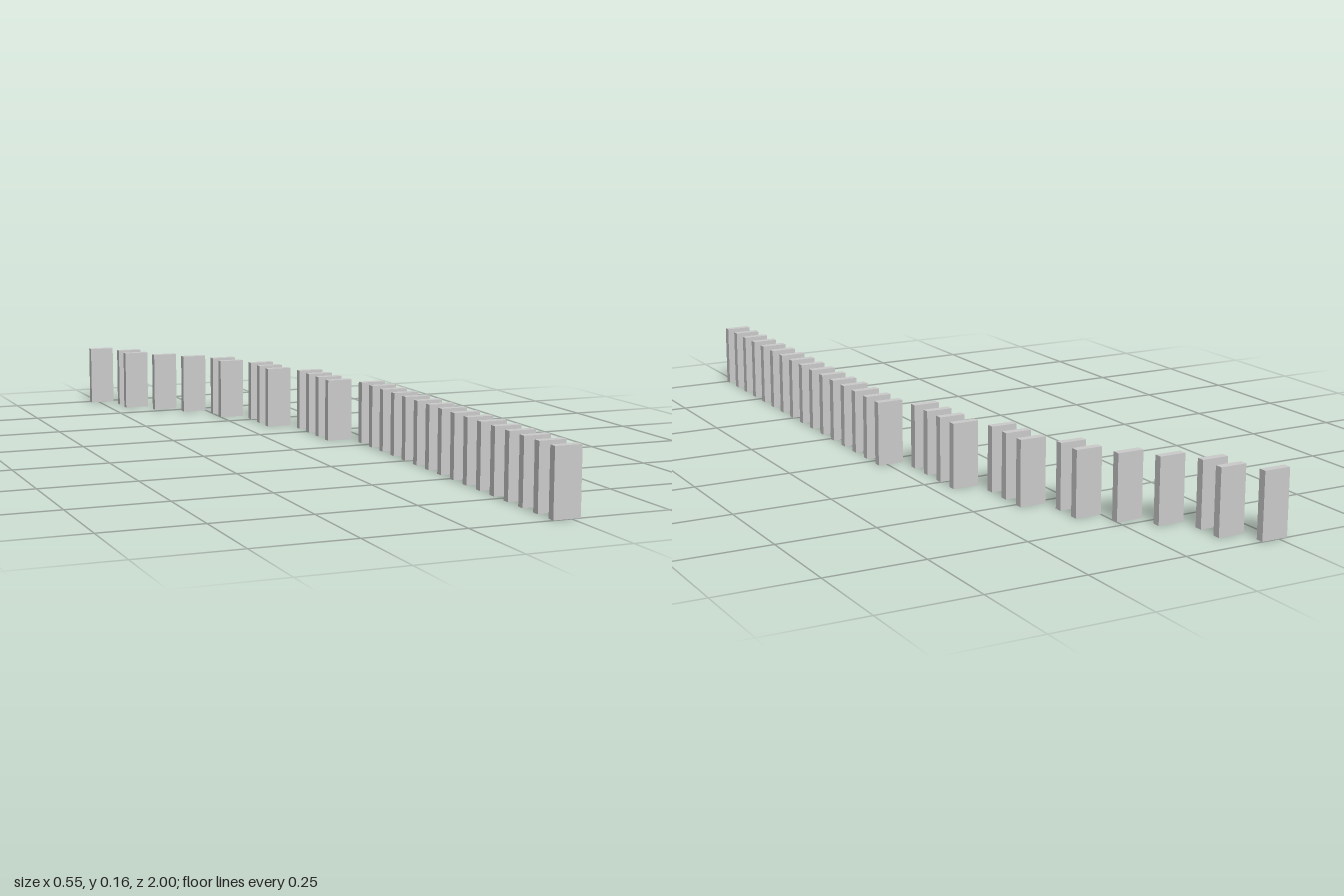
import * as THREE from 'three';

// One grid step: spacing between tiles and width of each tile
const STEP = 2 / 29.3;
const WIDTH = STEP, HEIGHT = 2.4 * STEP, DEPTH = 0.3 * STEP;

// Number of tiles in each column, from the back right to the front left
const COLUMN_COUNTS = [1, 2, 1, 1, 2, 3, 4, 16];

export function createModel() {
  const group = new THREE.Group();
  group.name = 'dominoRow';
  const material = new THREE.MeshStandardMaterial({ color: 0xcccccc });
  const geometry = new THREE.BoxGeometry(WIDTH, HEIGHT, DEPTH);

  // Upright tiles, evenly spaced in z, stepping sideways along a curve
  let row = 0;
  COLUMN_COUNTS.forEach((count, column) => {
    for (let i = 0; i < count; i++, row++) {
      const domino = new THREE.Mesh(geometry, material);
      domino.name = `domino${row + 1}`;
      domino.position.set((column - 3.5) * STEP, HEIGHT / 2, (row - 14.5) * STEP);
      group.add(domino);
    }
  });
  return group;
}
